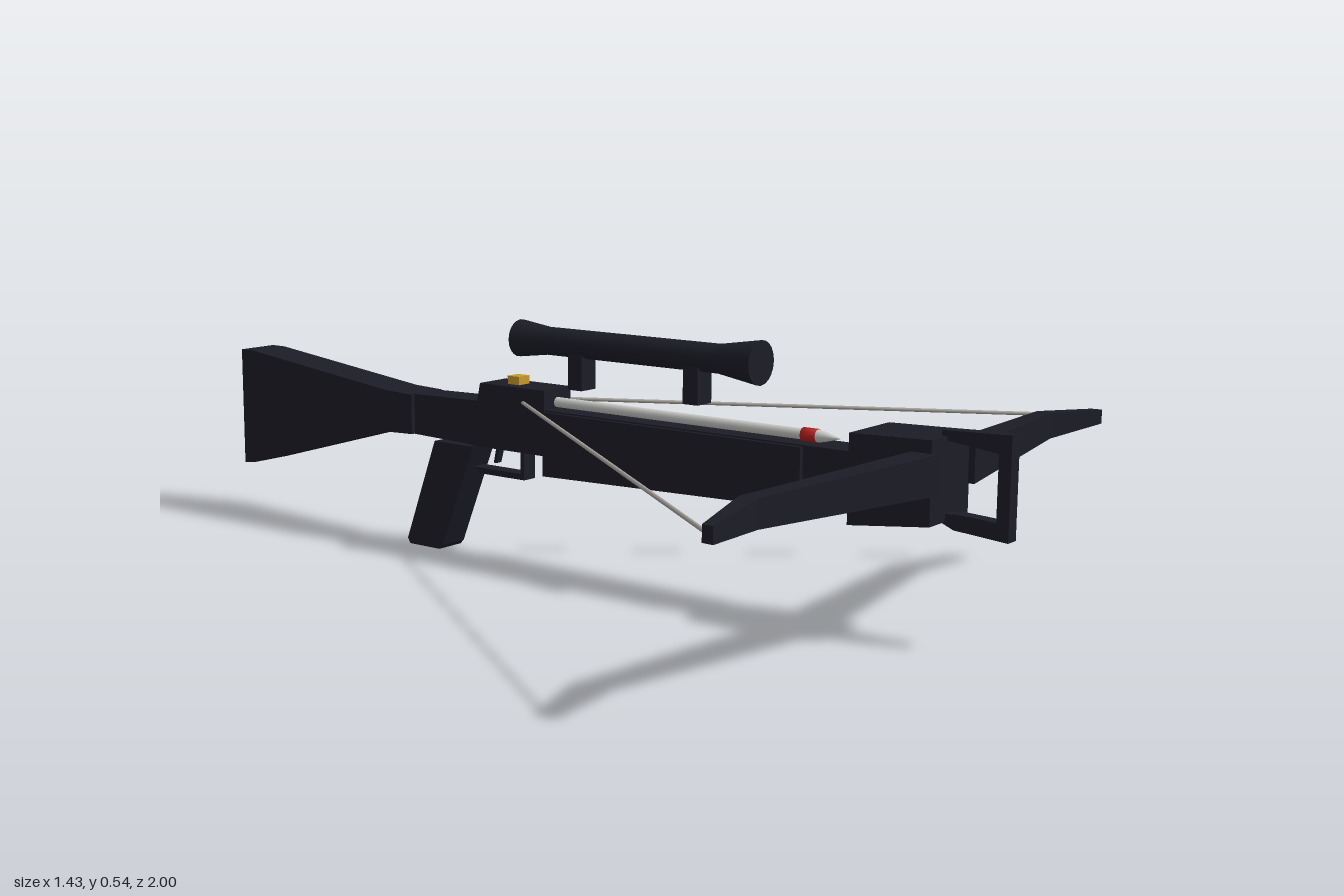
import * as THREE from 'three';

const mat = (name, color) => {
  const m = new THREE.MeshStandardMaterial({ color });
  m.name = name;
  return m;
};

export function createModel() {
  const black = mat('matte black', 0x1c1c27);
  const silver = mat('silver', 0xcacac8);
  const red = mat('red', 0xb41e1c);
  const gold = mat('gold', 0xc89a2c);
  const cord = mat('cord grey', 0xa6a29c);

  const model = new THREE.Group();
  model.name = 'crossbow';

  const add = (name, geometry, material = black) => {
    const mesh = new THREE.Mesh(geometry, material);
    mesh.name = name;
    model.add(mesh);
  };
  const extrude = (points, depth) => {
    const shape = new THREE.Shape(points.map(([a, b]) => new THREE.Vector2(a, b)));
    return new THREE.ExtrudeGeometry(shape, { depth, bevelEnabled: false }).translate(0, 0, -depth / 2);
  };
  // Side profile given as [z, y] points, extruded across x
  const slab = (name, width, points) => add(name, extrude(points, width).rotateY(-Math.PI / 2));
  const box = (name, w, h, d, y, z, material) =>
    add(name, new THREE.BoxGeometry(w, h, d).translate(0, y, z), material);
  // Round part along z from [radius, z] points
  const turned = (name, points, y, material, sides = 20) => {
    const profile = points.map(([r, z]) => new THREE.Vector2(r, z));
    add(name, new THREE.LatheGeometry(profile, sides).rotateX(Math.PI / 2).translate(0, y, 0), material);
  };

  // Stock, receiver and rail
  slab('buttStock', 0.1, [[-1, 0.125], [-0.96, 0.13], [-0.52, 0.253], [-0.44, 0.256], [-0.44, 0.345],
    [-0.52, 0.348], [-0.96, 0.4], [-1, 0.4]]);
  slab('wrist', 0.08, [[-0.46, 0.256], [-0.24, 0.25], [-0.24, 0.35], [-0.46, 0.345]]);
  slab('receiver', 0.088, [[-0.27, 0.25], [-0.06, 0.25], [-0.06, 0.39], [-0.24, 0.39]]);
  box('rail', 0.08, 0.08, 0.8, 0.308, 0.33);
  slab('foreStock', 0.1, [[-0.06, 0.208], [0.58, 0.225], [0.58, 0.345], [-0.06, 0.345]]);
  slab('grip', 0.07, [[-0.27, 0.245], [-0.365, 0.01], [-0.375, 0], [-0.465, 0], [-0.472, 0.012], [-0.385, 0.245]]);

  // Trigger and its guard
  slab('triggerGuard', 0.036, [[-0.138, 0.255], [-0.138, 0.184], [-0.265, 0.184], [-0.285, 0.197],
    [-0.148, 0.197], [-0.148, 0.255]]);
  slab('trigger', 0.016, [[-0.214, 0.255], [-0.226, 0.21], [-0.234, 0.21], [-0.224, 0.255]]);
  box('safetyCatch', 0.034, 0.024, 0.032, 0.396, -0.168, gold);

  // Head block and foot stirrup
  slab('headBlock', 0.146, [[0.7, 0.215], [0.872, 0.235], [0.872, 0.395], [0.7, 0.39]]);
  slab('stirrup', 0.03, [[0.86, 0.235], [0.89, 0.222], [1, 0.213], [1, 0.41], [0.86, 0.405], [0.86, 0.388],
    [0.975, 0.374], [0.975, 0.248], [0.9, 0.252], [0.86, 0.25]]);

  // Bow limbs, thinning toward the tips, and the drawn string
  for (const side of [1, -1]) {
    const word = side > 0 ? 'left' : 'right';
    const outline = [[0.07, 0.885], [0.54, 0.812], [0.714, 0.845], [0.712, 0.822], [0.545, 0.777], [0.07, 0.83]];
    const limb = extrude(outline.map(([x, z]) => [side * x, z]), 1).rotateX(Math.PI / 2);
    const p = limb.attributes.position;
    for (let i = 0; i < p.count; i++) {
      const x = Math.abs(p.getX(i));
      const height = x < 0.5 ? 0.076 : x < 0.6 ? 0.053 : 0.03;
      p.setY(i, 0.332 + p.getY(i) * height);
    }
    limb.computeVertexNormals();
    add(word + 'Limb', limb);

    const path = new THREE.LineCurve3(
      new THREE.Vector3(side * 0.708, 0.333, 0.83), new THREE.Vector3(0, 0.36, -0.18));
    add(word + 'String', new THREE.TubeGeometry(path, 1, 0.004, 8), cord);
  }

  // Bolt lying on the rail
  turned('boltShaft', [[0, -0.13], [0.011, -0.13], [0.011, 0.56]], 0.361, silver, 12);
  turned('boltCollar', [[0, 0.555], [0.014, 0.555], [0.014, 0.588], [0, 0.588]], 0.361, red, 12);
  turned('boltTip', [[0.013, 0.587], [0.01, 0.605], [0, 0.64]], 0.361, silver, 12);

  // Scope and mounts
  turned('scopeTube', [[0.03, -0.085], [0.03, 0.36]], 0.49);
  turned('scopeFrontBell', [[0.03, 0.36], [0.045, 0.455]], 0.49);
  turned('scopeFrontLens', [[0.045, 0.455], [0, 0.455]], 0.49);
  turned('scopeRearBell', [[0.04, -0.161], [0.03, -0.085]], 0.49);
  turned('scopeRearLens', [[0, -0.161], [0.04, -0.161]], 0.49);
  for (const z of [0.303, 0.007]) box('scopeMount', 0.048, 0.08, 0.036, 0.435, z);

  return model;
}
